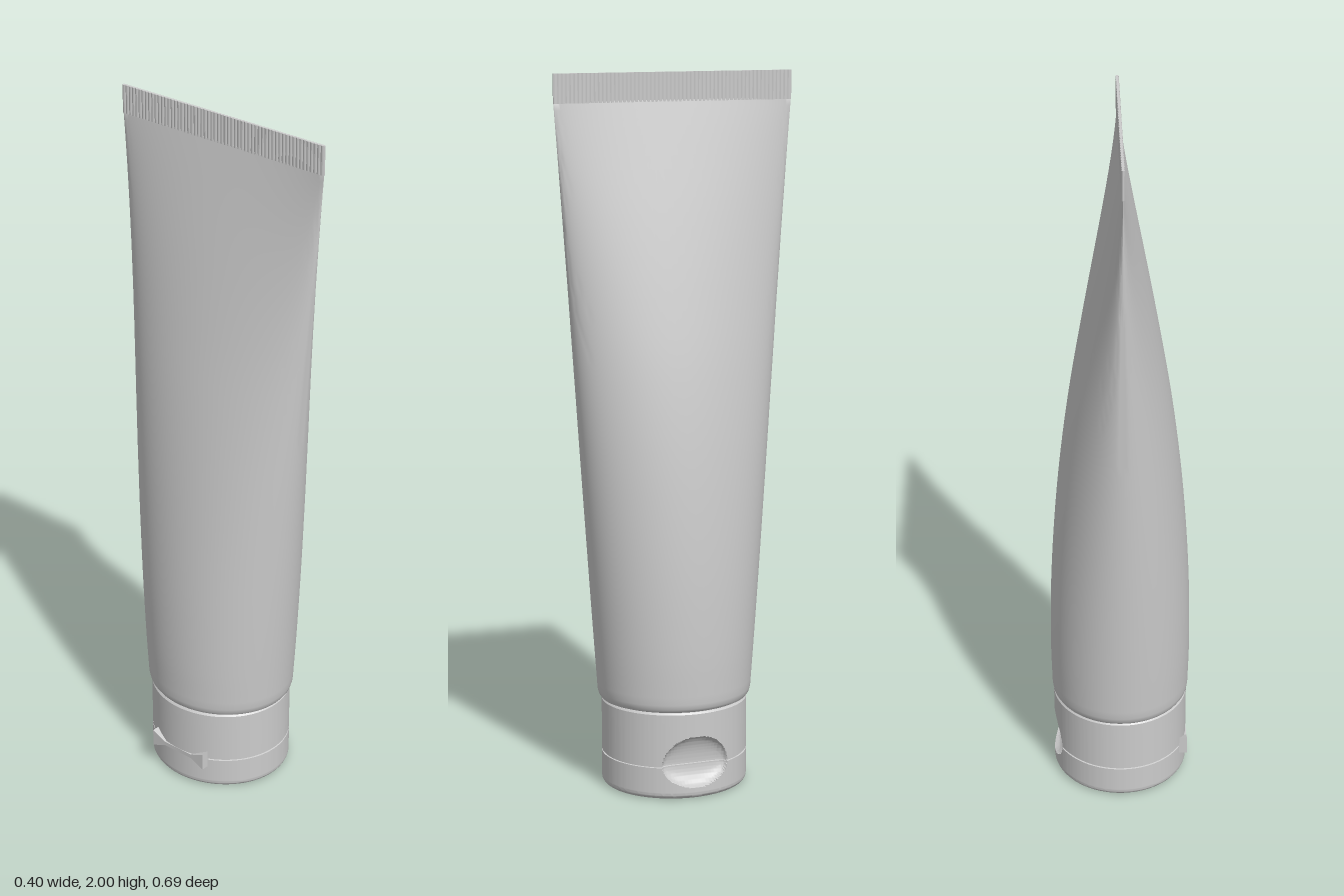
import * as THREE from 'three';
import { toCreasedNormals } from 'three/addons/utils/BufferGeometryUtils.js';

const material = new THREE.MeshStandardMaterial({ color: 0xcccccc });

function part(name, geometry) {
  const mesh = new THREE.Mesh(geometry, material);
  mesh.name = name;
  return mesh;
}

// Skin over elliptical rings [half width x, half depth z, y], listed bottom to top
function loft(rings, angles, reshape = (p) => p) {
  const n = angles.length;
  const position = [];
  const index = [];
  rings.forEach(([a, d, y], i) => {
    angles.forEach((t, j) => {
      const p = reshape(new THREE.Vector3(a * Math.cos(t), y, d * Math.sin(t)));
      position.push(p.x, p.y, p.z);
      if (i === rings.length - 1) return;
      const k = (j + 1) % n;
      const low = i * n;
      const high = low + n;
      index.push(low + j, high + j, high + k, low + j, high + k, low + k);
    });
  });
  const geometry = new THREE.BufferGeometry();
  geometry.setAttribute('position', new THREE.Float32BufferAttribute(position, 3));
  geometry.setIndex(index);
  return toCreasedNormals(geometry, 0.55);
}

// Squeezable body: nearly round at the shoulder, pressed to a line at the seal
function tubeBody() {
  const widths = new THREE.CatmullRomCurve3([
    [0.197, 0.275], [0.2, 0.4], [0.197, 0.6], [0.186, 0.8], [0.168, 1.0], [0.142, 1.2],
    [0.108, 1.4], [0.07, 1.6], [0.029, 1.8], [0.003, 1.925],
  ].map(([w, y]) => new THREE.Vector3(w, y, 0)));
  const rings = [[0, 0, 0.25], [0.183, 0.196, 0.25], [0.19, 0.209, 0.254], [0.195, 0.215, 0.262]];
  for (let i = 0; i <= 48; i++) {
    const p = widths.getPoint(i / 48);
    rings.push([p.x, THREE.MathUtils.mapLinear(p.y, 0.275, 1.925, 0.219, 0.3425), p.y]);
  }
  rings.push([0, 0.3425, 1.926]);
  const angles = Array.from({ length: 96 }, (_, j) => (j / 96) * Math.PI * 2);
  return loft(rings, angles);
}

// Flip cap with a parting groove and a scooped thumb notch on the +x side
function flipCap() {
  const a = 0.193;
  const d = 0.207;
  const seam = 0.095;
  const rings = [[0, 0, 0.004], [a - 0.03, d - 0.03, 0.004], [a - 0.027, d - 0.027, 0]];
  for (let i = 0; i <= 6; i++) {
    const t = (i / 6) * Math.PI / 2;
    const inset = 0.018 * (1 - Math.sin(t));
    rings.push([a - inset, d - inset, 0.018 * (1 - Math.cos(t))]);
  }
  for (let y = 0.021; y < 0.19; y += 0.003) {
    if (Math.abs(y - seam) > 0.004) rings.push([a, d, y]);
    else if (rings[rings.length - 1][2] < seam - 0.003) {
      rings.push([a, d, seam - 0.0025], [a - 0.004, d - 0.004, seam - 0.0015],
        [a - 0.004, d - 0.004, seam + 0.0015], [a, d, seam + 0.0025]);
    }
  }
  rings.push([a, d, 0.246], [a - 0.004, d - 0.004, 0.251], [0, 0, 0.251]);

  // Columns are packed closely around the notch
  const angles = Array.from({ length: 192 }, (_, j) => {
    const t = (j / 192) * 2 - 1;
    return Math.PI * (0.3 * t + 0.7 * t ** 3);
  });
  return loft(rings, angles, (p) => {
    const u = p.z / 0.095;
    const v = (p.y - seam) / (p.y > seam ? 0.085 : 0.061);
    const r2 = u * u + v * v;
    if (p.x > 0.1 && r2 < 1) p.x -= 0.036 * Math.sqrt(1 - r2);
    return p;
  });
}

// Crimped end seal with fine vertical ribs on both faces
function crimpSeal() {
  const half = 0.3425;
  const ribs = 60;
  const side = [];
  for (let i = 0; i <= ribs * 4; i++) {
    const rib = Math.abs(Math.sin((i / 4) * Math.PI));
    side.push(new THREE.Vector2(0.0022 + 0.0024 * rib, -half + (i / (ribs * 4)) * half * 2));
  }
  const mirrored = side.map((p) => new THREE.Vector2(-p.x, p.y)).reverse();
  const geometry = new THREE.ExtrudeGeometry(new THREE.Shape([...side, ...mirrored]),
    { depth: 0.08, bevelEnabled: false });
  return geometry.rotateX(-Math.PI / 2).translate(0, 1.92, 0);
}

// Bow-tie living hinge opposite the notch
function capHinge() {
  const outline = [[-0.095, -0.026], [-0.05, -0.006], [0.05, -0.006], [0.095, -0.026],
    [0.095, 0.026], [0.05, 0.006], [-0.05, 0.006], [-0.095, 0.026]];
  const shape = new THREE.Shape(outline.map(([z, y]) => new THREE.Vector2(z, y)));
  const geometry = new THREE.ExtrudeGeometry(shape, { depth: 0.03, bevelEnabled: false });
  return geometry.rotateY(-Math.PI / 2).translate(-0.164, 0.095, 0);
}

export function createModel() {
  const group = new THREE.Group();
  group.name = 'squeezeTube';
  group.add(
    part('tubeBody', tubeBody()),
    part('crimpSeal', crimpSeal()),
    part('flipCap', flipCap()),
    part('capHinge', capHinge()),
  );
  return group;
}
